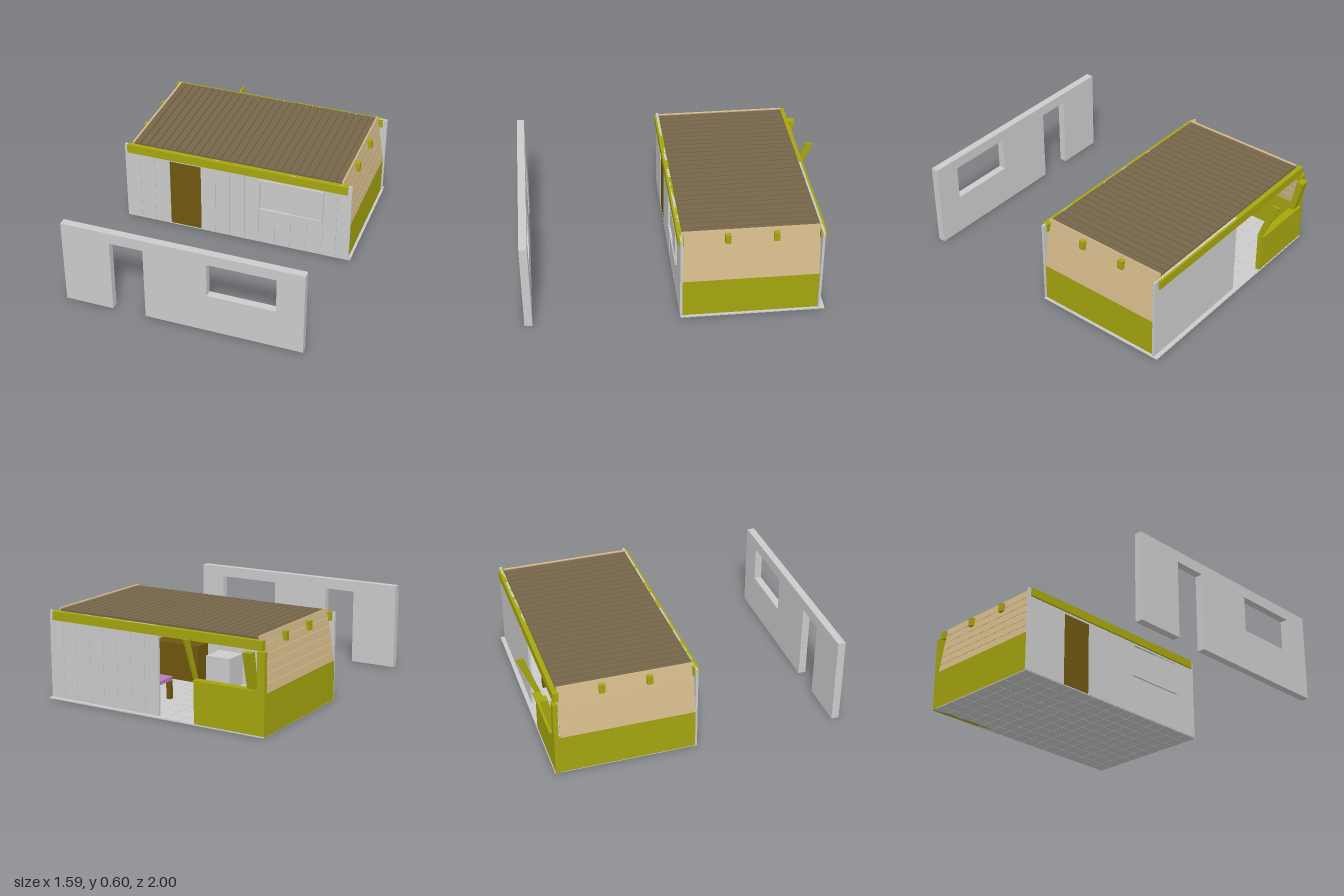
import * as THREE from 'three';

const mat = (color) => new THREE.MeshStandardMaterial({ color, flatShading: true });

export function createModel() {
  const model = new THREE.Group();
  const grey = mat(0xcccccc), olive = mat(0xa5a50f), tan = mat(0xd4ba8a);
  const roofBrown = mat(0x75664a), doorBrown = mat(0x70570f), purple = mat(0xb57fc0);

  const group = (name) => {
    const g = new THREE.Group();
    g.name = name;
    model.add(g);
    return g;
  };
  // Box given by its limits on each axis
  const box = (parent, name, material, [x0, x1], [y0, y1], [z0, z1]) => {
    const mesh = new THREE.Mesh(new THREE.BoxGeometry(x1 - x0, y1 - y0, z1 - z0), material);
    mesh.position.set((x0 + x1) / 2, (y0 + y1) / 2, (z0 + z1) / 2);
    mesh.name = name;
    parent.add(mesh);
    return mesh;
  };
  // Row of upright planks with fine seams
  const planks = (parent, [x0, x1], y, z) => {
    const n = Math.max(1, Math.round((x1 - x0) / 0.1));
    const w = (x1 - x0) / n;
    for (let i = 0; i < n; i++) {
      const a = x0 + i * w;
      box(parent, 'plank', grey, [a + 0.001, a + w - 0.001], y, z);
    }
  };
  // Side profile (z, y) given a thickness along x
  const sideExtrude = (parent, name, material, pts, x0, x1) => {
    const shape = new THREE.Shape(pts.map(([z, y]) => new THREE.Vector2(z, y)));
    const geo = new THREE.ExtrudeGeometry(shape, { depth: x1 - x0, bevelEnabled: false });
    geo.rotateY(-Math.PI / 2);
    const mesh = new THREE.Mesh(geo, material);
    mesh.position.x = x1;
    mesh.name = name;
    parent.add(mesh);
  };

  // Separate wall panel standing in front, with door and window openings
  const wallShape = new THREE.Shape([
    [-0.79, 0], [-0.47, 0], [-0.47, 0.505], [-0.25, 0.505],
    [-0.25, 0], [0.775, 0], [0.775, 0.578], [-0.79, 0.578],
  ].map(([x, y]) => new THREE.Vector2(x, y)));
  wallShape.holes.push(new THREE.Path([
    [0.16, 0.27], [0.16, 0.505], [0.6, 0.505], [0.6, 0.27],
  ].map(([x, y]) => new THREE.Vector2(x, y))));
  const panel = new THREE.Mesh(
    new THREE.ExtrudeGeometry(wallShape, { depth: 0.05, bevelEnabled: false }), grey);
  panel.position.z = 0.95;
  panel.name = 'detachedWallPanel';
  model.add(panel);

  // Tiled floor on a thin slab
  const floor = group('floor');
  box(floor, 'floorSlab', grey, [-0.79, 0.795], [0.002, 0.006], [-0.89, 0.025]);
  const nx = 16, nz = 9, tw = 1.585 / nx, td = 0.915 / nz;
  for (let i = 0; i < nx; i++) {
    for (let j = 0; j < nz; j++) {
      const x = -0.79 + i * tw, z = -0.89 + j * td;
      box(floor, 'floorTile', grey, [x + 0.001, x + tw - 0.001], [0, 0.008], [z + 0.001, z + td - 0.001]);
    }
  }

  // Front wall with door and sliding window
  const front = group('frontWall');
  const fz = [0.013, 0.028], full = [0.005, 0.578];
  planks(front, [-0.79, -0.47], full, fz);
  planks(front, [-0.47, -0.25], [0.505, 0.578], fz);
  planks(front, [-0.25, 0.16], full, fz);
  planks(front, [0.16, 0.6], [0.005, 0.27], fz);
  planks(front, [0.16, 0.6], [0.505, 0.578], fz);
  planks(front, [0.6, 0.785], full, fz);
  box(front, 'door', doorBrown, [-0.47, -0.25], [0.008, 0.505], [0.012, 0.024]);
  const win = group('window');
  box(win, 'fixedPane', grey, [0.165, 0.595], [0.275, 0.5], [0.015, 0.026]);
  box(win, 'slidingPane', grey, [0.38, 0.59], [0.28, 0.5], [0.024, 0.034]);
  for (const y of [0.27, 0.497]) box(win, 'windowRail', grey, [0.16, 0.6], [y, y + 0.008], [0.012, 0.04]);
  for (const x of [0.16, 0.592]) box(win, 'windowStile', grey, [x, x + 0.008], [0.27, 0.505], [0.012, 0.04]);

  // Back wall, open toward the model's right
  const back = group('backWall');
  planks(back, [-0.04, 0.79], full, [-0.862, -0.847]);
  box(back, 'lowBackWall', olive, [-0.79, -0.305], [0, 0.28], [-0.885, -0.855]);
  box(back, 'sill', olive, [-0.74, -0.31], [0.274, 0.286], [-0.903, -0.852]);
  box(back, 'cornerPost', olive, [-0.79, -0.74], [0, 0.515], [-0.885, -0.855]);
  sideExtrude(back, 'tallBrace', olive,
    [[-0.855, 0.29], [-0.89, 0.29], [-1, 0.555], [-0.947, 0.555]], -0.318, -0.305);
  sideExtrude(back, 'cornerBrace', olive,
    [[-0.85, 0.28], [-0.885, 0.28], [-0.945, 0.515], [-0.895, 0.515]], -0.73, -0.675);

  // Side walls: solid base below, boards leaning inward above
  for (const [name, outer, top, s] of [['leftWall', 0.778, 0.722, 1], ['rightWall', -0.79, -0.735, -1]]) {
    const side = group(name);
    const inner = outer - s * 0.02;
    box(side, 'wallBase', olive, [Math.min(outer, inner), Math.max(outer, inner)],
      [0.003, 0.265], [s < 0 ? -0.87 : -0.845, 0.015]);
    const n = 6, h = (0.6 - 0.262) / n;
    const lean = Math.atan2(top - outer, 0.338);
    for (let i = 0; i < n; i++) {
      const t = (i + 0.5) / n;
      const board = new THREE.Mesh(new THREE.BoxGeometry(0.012, h / Math.cos(lean) - 0.003, 0.86), tan);
      board.position.set(outer + (top - outer) * t - s * 0.006, 0.262 + h * (i + 0.5), -0.415);
      board.rotation.z = -lean;
      board.name = 'sideBoard';
      side.add(board);
    }
  }

  // Roof beams running the full width, ends showing through the side walls
  const beams = group('roofBeams');
  for (const z of [0.022, -0.27, -0.57, -0.858]) {
    box(beams, 'roofBeam', olive, [-0.768, 0.757], [0.52, 0.578], [z - 0.018, z + 0.018]);
  }

  // Roof slats over a thin deck
  const roof = group('roof');
  box(roof, 'roofDeck', roofBrown, [-0.73, 0.718], [0.577, 0.582], [-0.843, 0.005]);
  const slats = 28, sw = 1.455 / slats;
  for (let i = 0; i < slats; i++) {
    const x = -0.735 + i * sw;
    box(roof, 'roofSlat', roofBrown, [x + 0.003, x + sw - 0.003], [0.58, 0.591], [-0.845, 0.01]);
  }

  // Furniture inside
  const inside = group('furniture');
  box(inside, 'mattress', purple, [0.1, 0.72], [0.13, 0.155], [-0.75, -0.5]);
  for (const x of [0.1, 0.69]) {
    for (const z of [-0.75, -0.53]) box(inside, 'bedLeg', doorBrown, [x, x + 0.03], [0.008, 0.13], [z, z + 0.03]);
  }
  box(inside, 'cabinet', doorBrown, [0.15, 0.5], [0.008, 0.26], [-0.12, 0.01]);
  box(inside, 'locker', grey, [-0.12, 0.06], [0.008, 0.22], [-0.16, 0.01]);

  return model;
}
